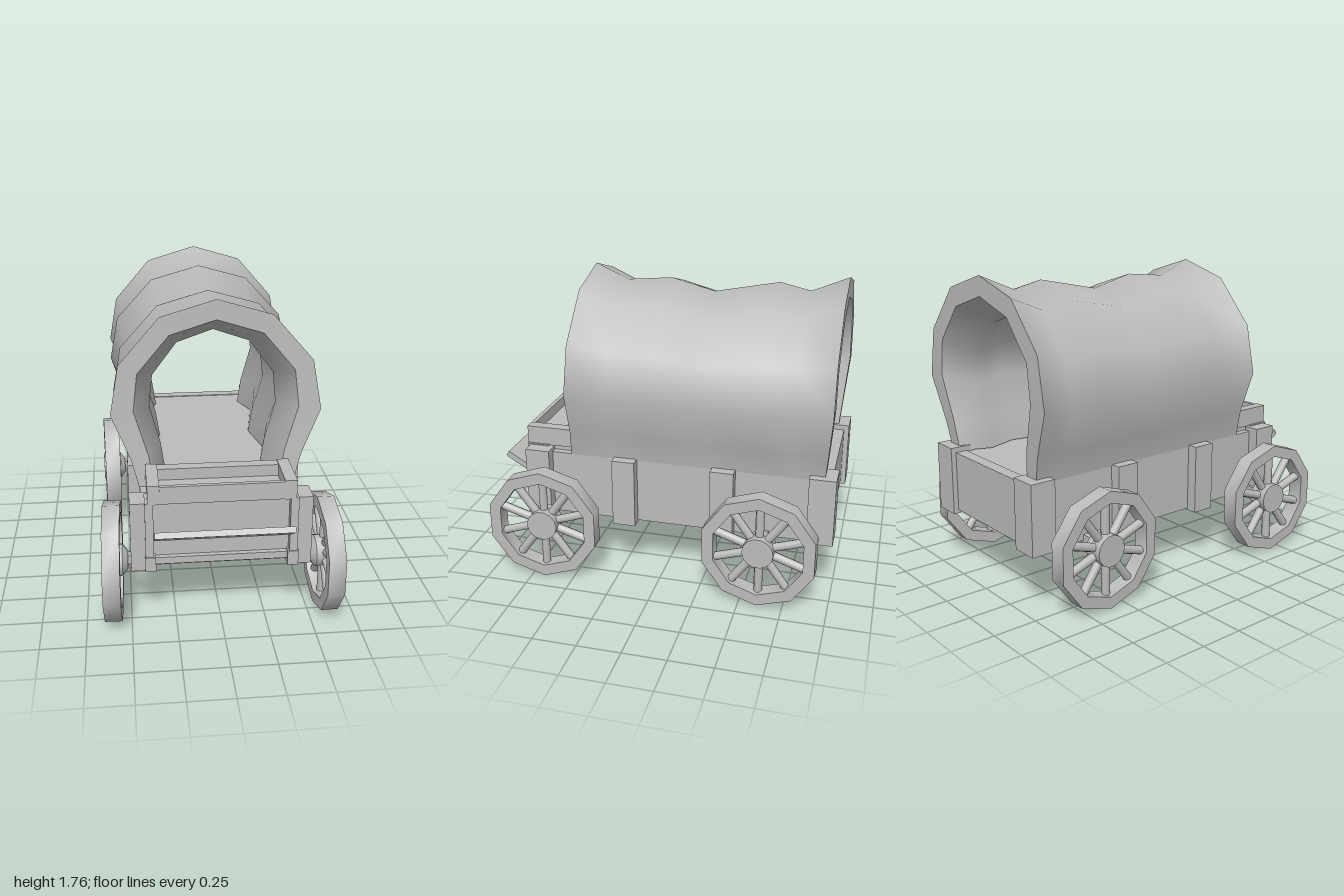
import * as THREE from 'three';
import { toCreasedNormals } from 'three/addons/utils/BufferGeometryUtils.js';

const wood = new THREE.MeshStandardMaterial({ color: 0xbcbcbc, side: THREE.DoubleSide });
wood.name = 'plain grey';

function add(parent, name, geometry) {
  const mesh = new THREE.Mesh(geometry, wood);
  mesh.name = name;
  parent.add(mesh);
  return mesh;
}

// Box given by its limits on each axis
function box(parent, name, x0, x1, y0, y1, z0, z1) {
  const g = new THREE.BoxGeometry(x1 - x0, y1 - y0, z1 - z0);
  g.translate((x0 + x1) / 2, (y0 + y1) / 2, (z0 + z1) / 2);
  return add(parent, name, g);
}

// The same box on both sides
function boxPair(parent, name, x0, x1, y0, y1, z0, z1) {
  box(parent, name + 'Left', x0, x1, y0, y1, z0, z1);
  box(parent, name + 'Right', -x1, -x0, y0, y1, z0, z1);
}

// Smooth surface through rows of points
function skin(rows, flip) {
  const n = rows[0].length;
  const index = [];
  for (let i = 0; i < rows.length - 1; i++) {
    for (let j = 0; j < n - 1; j++) {
      const a = i * n + j, b = a + n, c = a + 1, d = b + 1;
      if (flip) index.push(a, c, b, b, c, d);
      else index.push(a, b, c, b, d, c);
    }
  }
  const g = new THREE.BufferGeometry();
  g.setAttribute('position', new THREE.Float32BufferAttribute(rows.flat(2), 3));
  g.setIndex(index);
  g.computeVertexNormals();
  return g;
}

// Canvas cover: half arch profiles, swollen and pinched along the length
function makeCover() {
  const cover = new THREE.Group();
  cover.name = 'cover';
  const base = 0.72;
  const outer = [[0.435, 0.72], [0.475, 0.88], [0.58, 1.14], [0.53, 1.42], [0.305, 1.68], [0, 1.77]];
  const inner = [[0.35, 0.72], [0.378, 0.9], [0.455, 1.16], [0.43, 1.37], [0.255, 1.58], [0, 1.66]];
  // z, half width, top
  const rings = [
    [0.51, 0.58, 1.765], [0.31, 0.51, 1.68], [0.05, 0.563, 1.705], [-0.205, 0.515, 1.64],
    [-0.58, 0.577, 1.715], [-0.755, 0.515, 1.675], [-0.968, 0.58, 1.765],
  ];
  const last = rings.length - 1;
  // The outer foot stays on the bed; the inner foot is pinched with the rest
  const makeRows = (profile, powerX, powerY, fixedFoot) => rings.map(([z, w, top], i) => {
    const sx = Math.pow(w / 0.58, powerX), sy = Math.pow((top - base) / 1.05, powerY);
    const half = profile.map(([x, y]) => {
      const t = Math.min(1, (y - base) / 0.42);
      const lean = i === 0 ? 0.04 * ((1.77 - y) / 1.05) ** 2 : i === last ? 0.036 * (1 - t) : 0;
      return [x * (1 + (sx - 1) * (fixedFoot ? t : 1)), base + (y - base) * sy, z + lean];
    });
    const other = half.slice(0, -1).reverse().map(([x, y, zz]) => [-x, y, zz]);
    return [...half, ...other];
  });
  const outRows = makeRows(outer, 1, 1, true), inRows = makeRows(inner, 1.8, 1.42, false);
  add(cover, 'coverOutside', skin(outRows, false));
  add(cover, 'coverInside', skin(inRows, true));
  add(cover, 'coverFrontRim', skin([outRows[0], inRows[0]], true));
  add(cover, 'coverBackRim', skin([outRows[last], inRows[last]], false));
  return cover;
}

// Ten-sided spoked wheel, axle along x, outside towards +x
function makeWheel() {
  const wheel = new THREE.Group();
  const corners = (r) => Array.from({ length: 10 }, (_, i) => {
    const a = Math.PI / 2 + i * Math.PI / 5;
    return new THREE.Vector2(r * Math.cos(a), r * Math.sin(a));
  });
  const shape = new THREE.Shape(corners(0.336));
  shape.holes.push(new THREE.Path(corners(0.268).reverse()));
  const rim = new THREE.ExtrudeGeometry(shape, { depth: 0.096, bevelEnabled: false });
  rim.translate(0, 0, -0.048);
  rim.rotateY(Math.PI / 2);
  add(wheel, 'rim', toCreasedNormals(rim, 0.75));
  for (let i = 0; i < 10; i++) {
    const spoke = new THREE.CylinderGeometry(0.025, 0.025, 0.24, 8, 1, true);
    spoke.translate(0, 0.165, 0);
    spoke.rotateX(i * Math.PI / 5);
    add(wheel, 'spoke', spoke);
  }
  const hub = new THREE.CylinderGeometry(0.09, 0.09, 0.11, 14);
  hub.rotateZ(-Math.PI / 2);
  add(wheel, 'hub', hub);
  const collar = new THREE.CylinderGeometry(0.09, 0.05, 0.03, 14);
  collar.rotateZ(-Math.PI / 2);
  collar.translate(-0.07, 0, 0);
  add(wheel, 'hubCollar', collar);
  return wheel;
}

export function createModel() {
  const wagon = new THREE.Group();
  wagon.name = 'coveredWagon';

  // Bed, hollow underneath, with side boards and tailgate
  const bed = new THREE.Group();
  bed.name = 'bed';
  wagon.add(bed);
  box(bed, 'floor', -0.41, 0.41, 0.65, 0.715, -0.92, 0.6);
  boxPair(bed, 'sideBoard', 0.39, 0.432, 0.335, 0.72, -0.86, 0.72);
  box(bed, 'tailgate', -0.42, 0.42, 0.37, 0.72, -0.97, -0.9);

  // Upright posts, reaching just below the boards
  boxPair(bed, 'frontPost', 0.4, 0.495, 0.34, 0.745, 0.67, 0.815);
  boxPair(bed, 'middlePost', 0.385, 0.495, 0.325, 0.73, 0.15, 0.285);
  boxPair(bed, 'rearMiddlePost', 0.385, 0.495, 0.325, 0.73, -0.43, -0.295);
  boxPair(bed, 'rearPost', 0.33, 0.49, 0.35, 0.75, -1, -0.85);

  // Driver's seat: a shallow tray on a box
  const seat = new THREE.Group();
  seat.name = 'seat';
  wagon.add(seat);
  box(seat, 'seatBox', -0.39, 0.39, 0.36, 0.76, 0.55, 0.79);
  box(seat, 'seatFloor', -0.395, 0.395, 0.745, 0.785, 0.555, 0.825);
  boxPair(seat, 'seatArm', 0.335, 0.4, 0.745, 0.855, 0.55, 0.835);
  box(seat, 'seatBack', -0.335, 0.335, 0.75, 0.85, 0.55, 0.615);
  box(seat, 'seatFront', -0.335, 0.335, 0.75, 0.85, 0.815, 0.84);
  boxPair(seat, 'seatUpright', 0.37, 0.415, 0.37, 0.75, 0.7, 0.832);
  boxPair(seat, 'seatFoot', 0.36, 0.42, 0.345, 0.43, 0.76, 0.838);
  box(seat, 'lowerRail', -0.36, 0.36, 0.38, 0.42, 0.78, 0.82);
  const footboard = add(seat, 'footboard', new THREE.BoxGeometry(0.74, 0.034, 0.2));
  footboard.position.set(0, 0.594, 0.906);
  footboard.rotation.x = -0.55;

  // Running gear under the bed
  const gear = new THREE.Group();
  gear.name = 'runningGear';
  wagon.add(gear);
  box(gear, 'centreBeam', -0.03, 0.03, 0.325, 0.375, -0.62, 0.7);
  for (const z of [0.675, -0.605]) box(gear, 'axle', -0.515, 0.515, 0.32, 0.37, z - 0.025, z + 0.025);

  // Wheels, set slightly out of line
  for (const side of [1, -1]) {
    for (const [z, end] of [[0.675, 'front'], [-0.605, 'rear']]) {
      const wheel = makeWheel();
      wheel.name = end + (side > 0 ? 'Left' : 'Right') + 'Wheel';
      wheel.position.set(side * 0.595, 0.336, z);
      wheel.rotation.y = (side > 0 ? 0 : Math.PI) + side * Math.sign(z) * 0.03;
      wagon.add(wheel);
    }
  }

  wagon.add(makeCover());
  return wagon;
}
